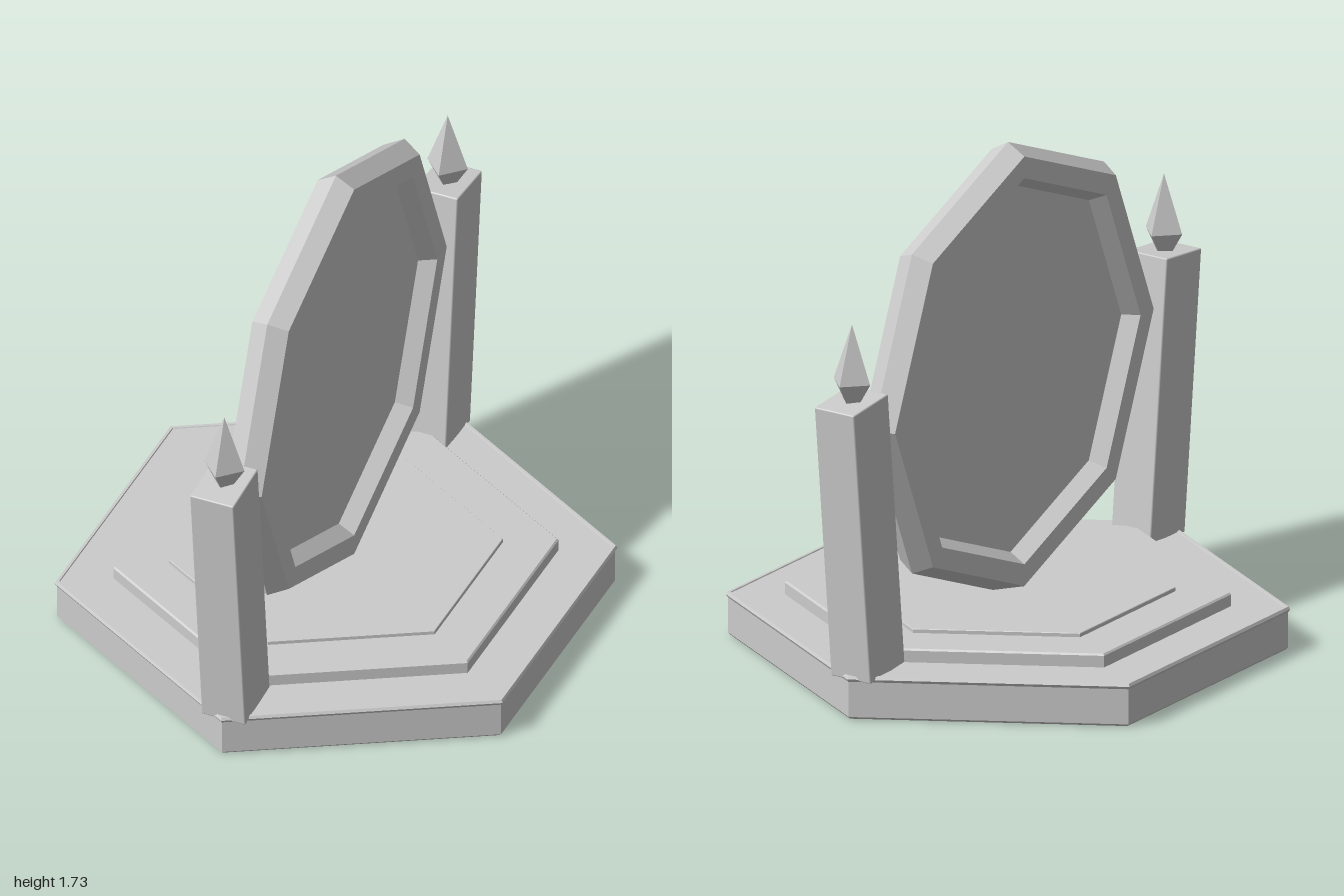
import * as THREE from 'three';
import { RoundedBoxGeometry } from 'three/addons/geometries/RoundedBoxGeometry.js';

const stone = new THREE.MeshStandardMaterial({ color: 0xcccccc });
stone.name = 'paleStone';

// Give every face its own normal
function faceted(geometry) {
  const flat = geometry.index ? geometry.toNonIndexed() : geometry;
  flat.computeVertexNormals();
  return flat;
}

function part(parent, name, geometry, x = 0, y = 0, z = 0) {
  const mesh = new THREE.Mesh(geometry, stone);
  mesh.name = name;
  mesh.position.set(x, y, z);
  parent.add(mesh);
  return mesh;
}

// Faceted solid of revolution from [radius, height] pairs
function turned(points, sides) {
  return faceted(new THREE.LatheGeometry(points.map(([r, y]) => new THREE.Vector2(r, y)), sides));
}

// Six-sided slab with a small bevel, corners on the z axis
function hexSlab(radius, y0, y1, bevel) {
  return turned([
    [0, y0], [radius - bevel, y0], [radius, y0 + bevel],
    [radius, y1 - bevel], [radius - bevel, y1], [0, y1],
  ], 6);
}

export function createModel() {
  const model = new THREE.Group();
  model.name = 'portal';

  // Stepped hexagonal platform
  const platform = new THREE.Group();
  platform.name = 'platform';
  model.add(platform);
  part(platform, 'base', hexSlab(0.915, 0, 0.146, 0.008));
  part(platform, 'middleStep', hexSlab(0.73, 0.14, 0.192, 0.006));
  part(platform, 'topStep', hexSlab(0.547, 0.185, 0.206, 0.002));

  // Thin trim around the rim of the base
  const trim = new THREE.TorusGeometry(0.912, 0.011, 6, 6);
  trim.rotateX(Math.PI / 2).rotateY(Math.PI / 2);
  part(platform, 'baseTrim', faceted(trim), 0, 0.14, 0);

  // Eight-sided ring standing on edge, with a hexagonal section
  const ring = new THREE.TorusGeometry(0.705, 0.075, 6, 8);
  ring.rotateY(Math.PI / 2);
  part(model, 'ring', faceted(ring), 0, 0.95, 0);

  // Panel filling the ring
  const panel = new THREE.CylinderGeometry(0.66, 0.66, 0.02, 8);
  panel.rotateZ(Math.PI / 2);
  part(model, 'panel', faceted(panel), 0, 0.95, 0);

  // Outward-leaning pillars, each with a pointed crystal
  const pillarShape = new RoundedBoxGeometry(0.156, 0.96, 0.2, 1, 0.005);
  const crystalShape = turned([[0, 1.04], [0.072, 1.163], [0, 1.36]], 4);
  for (const [side, name] of [[1, 'front'], [-1, 'back']]) {
    part(model, name + 'Pillar', pillarShape, 0, 0.62, side * 0.852).rotation.x = side * 0.1;
    part(model, name + 'Crystal', crystalShape, 0, 0, side * 0.896);
  }
  return model;
}
